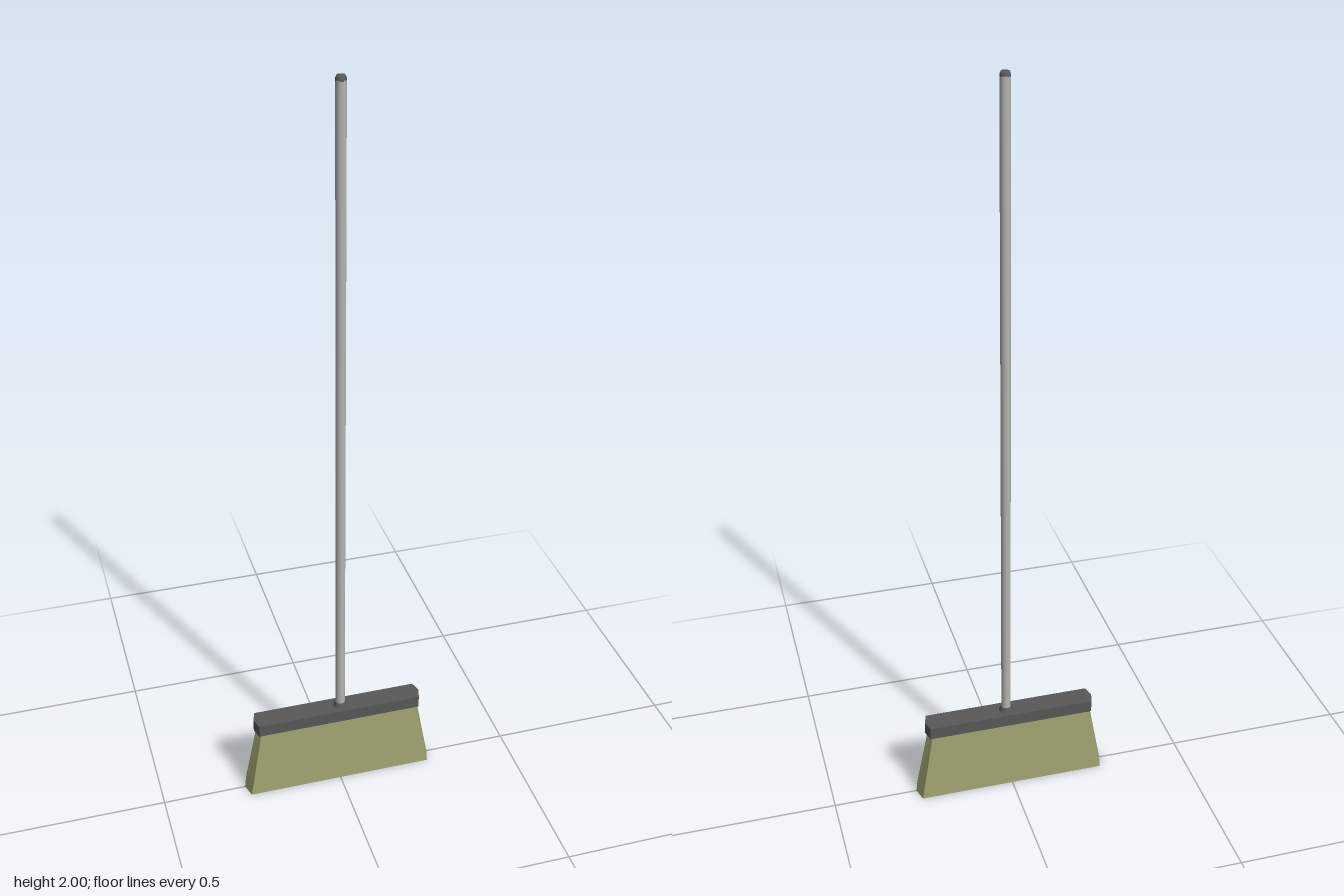
import * as THREE from 'three';

const material = (name, color) => Object.assign(new THREE.MeshStandardMaterial({ color }), { name });

// Six-sided block with pointed ends; each section is [y, tip x, corner x, half depth]
function hexBlock(bottom, top) {
  const ring = ([y, tip, corner, depth]) => [
    [tip, y, 0], [corner, y, -depth], [-corner, y, -depth],
    [-tip, y, 0], [-corner, y, depth], [corner, y, depth],
  ];
  const lo = ring(bottom), hi = ring(top), pos = [];
  const tri = (...corners) => corners.forEach((c) => pos.push(...c));
  for (let i = 0; i < 6; i++) {
    const j = (i + 1) % 6;
    tri(lo[i], lo[j], hi[j]);
    tri(lo[i], hi[j], hi[i]);
    if (i > 0 && i < 5) {
      tri(hi[0], hi[i], hi[j]);
      tri(lo[0], lo[j], lo[i]);
    }
  }
  const geometry = new THREE.BufferGeometry();
  geometry.setAttribute('position', new THREE.Float32BufferAttribute(pos, 3));
  geometry.computeVertexNormals();
  return geometry;
}

export function createModel() {
  const broom = new THREE.Group();
  broom.name = 'broom';
  const straw = material('straw', 0xa3a372);
  const darkPlastic = material('dark plastic', 0x595959);
  const metal = material('grey metal', 0xb4b4b0);

  const add = (name, geometry, mat, x = 0, y = 0) => {
    const mesh = new THREE.Mesh(geometry, mat);
    mesh.name = name;
    mesh.position.set(x, y, 0);
    broom.add(mesh);
  };

  // Flared bristles under a straight head
  add('bristles', hexBlock([0, 0.27, 0.259, 0.037], [0.21, 0.231, 0.222, 0.024]), straw);
  add('head', hexBlock([0.2, 0.239, 0.23, 0.03], [0.235, 0.239, 0.23, 0.03]), darkPlastic);

  // Handle sits slightly off centre in a tapered collar
  const handleX = 0.009;
  add('collar', new THREE.CylinderGeometry(0.015, 0.0195, 0.014, 24), darkPlastic, handleX, 0.241);
  add('handle', new THREE.CylinderGeometry(0.0128, 0.0128, 1.756, 24, 1, true), metal, handleX, 1.112);

  // Bevelled end cap
  const capProfile = [[0.0128, 1.988], [0.0128, 1.994], [0.01, 2], [0, 2]];
  add('endCap', new THREE.LatheGeometry(capProfile.map(([r, y]) => new THREE.Vector2(r, y)), 24), darkPlastic, handleX);
  return broom;
}
